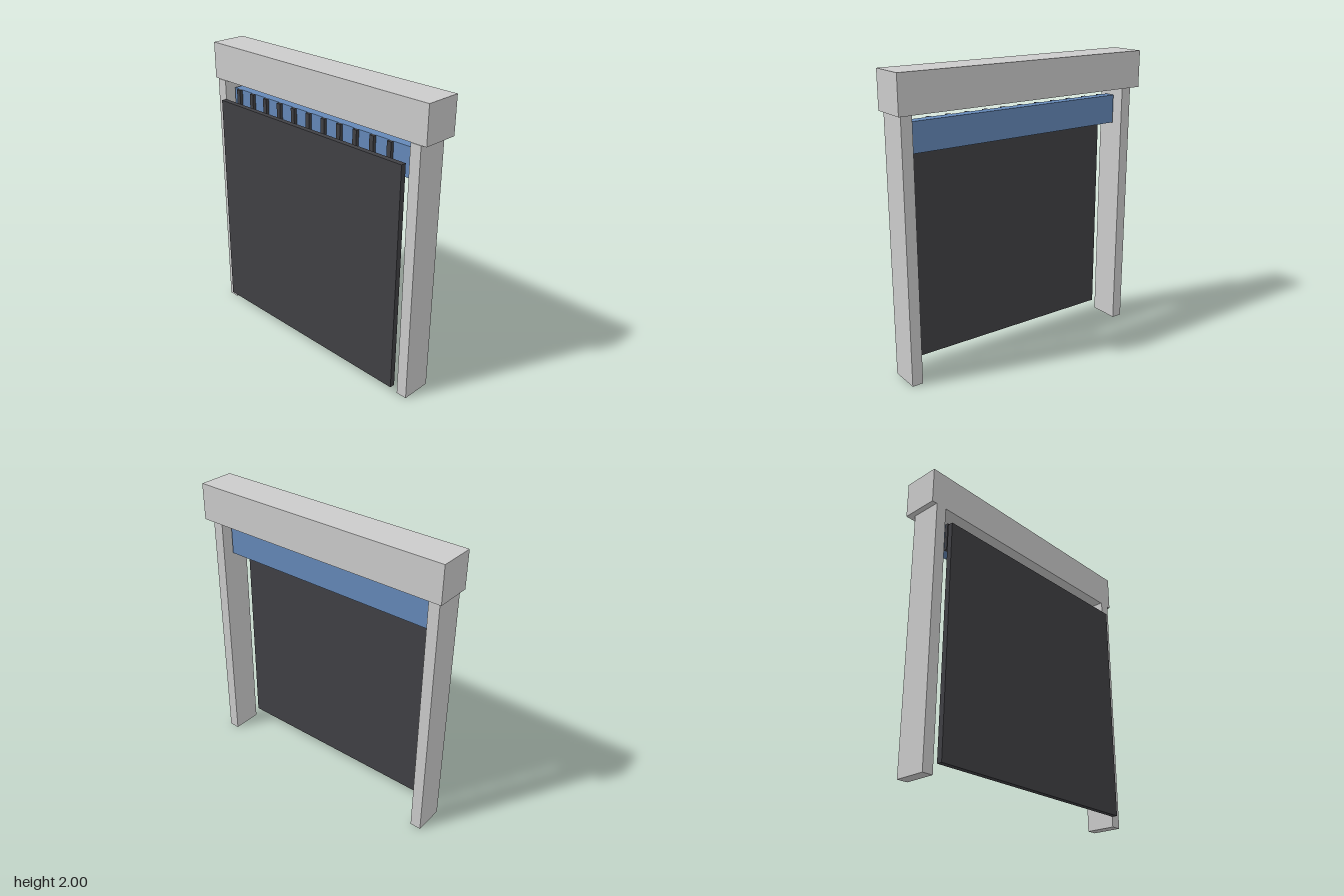
import * as THREE from 'three';

export function createModel() {
  const model = new THREE.Group();
  model.name = 'doorway';

  const grey = new THREE.MeshStandardMaterial({ color: 0xcccccc });
  const charcoal = new THREE.MeshStandardMaterial({ color: 0x404044 });
  const blue = new THREE.MeshStandardMaterial({ color: 0x6488b8 });

  // Box given by its extents along each axis
  function box(name, [x0, x1], [y0, y1], [z0, z1], material, parent = model) {
    const mesh = new THREE.Mesh(new THREE.BoxGeometry(x1 - x0, y1 - y0, z1 - z0), material);
    mesh.position.set((x0 + x1) / 2, (y0 + y1) / 2, (z0 + z1) / 2);
    mesh.name = name;
    parent.add(mesh);
    return mesh;
  }

  // Frame: lintel on two posts
  box('lintel', [-0.935, 0.935], [1.75, 2], [-0.15, 0.1], grey);
  box('leftPost', [0.825, 0.9], [0, 1.75], [-0.105, 0.105], grey);
  box('rightPost', [-0.9, -0.825], [0, 1.75], [-0.105, 0.105], grey);

  // Door panel hanging in front of the frame
  box('doorPanel', [-0.81, 0.81], [0.065, 1.625], [0.118, 0.155], charcoal);

  // Beam behind the top of the door
  box('beam', [-0.81, 0.81], [1.495, 1.69], [-0.035, 0.035], blue);

  // Evenly spaced slats on the front of the beam
  const slats = new THREE.Group();
  slats.name = 'slats';
  model.add(slats);
  for (let i = 0; i < 11; i++) {
    const x = -0.745 + i * 0.1375;
    box('slat', [x - 0.016, x + 0.016], [1.495, 1.69], [0.035, 0.058], charcoal, slats);
  }

  return model;
}
